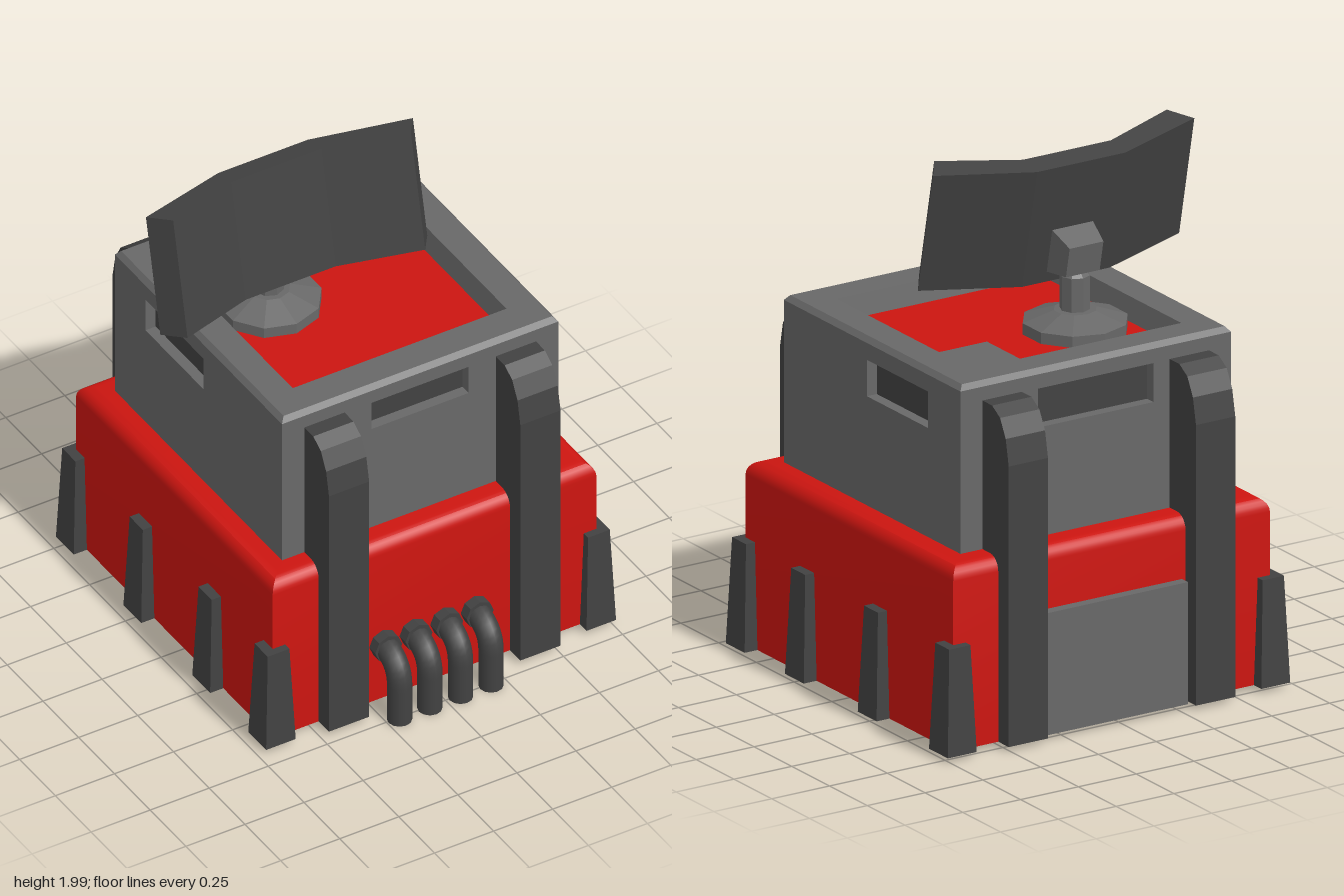
import * as THREE from 'three';
import { toCreasedNormals } from 'three/addons/utils/BufferGeometryUtils.js';

const mat = (color) => new THREE.MeshStandardMaterial({ color, flatShading: true });
const RED = mat(0xcc1510), GREY = mat(0x686868), DARK = mat(0x424242);
const SMOOTH_RED = new THREE.MeshStandardMaterial({ color: 0xcc1510 });
const SMOOTH_DARK = new THREE.MeshStandardMaterial({ color: 0x424242 });
const CX = 0.02, CZ = -0.045; // centre of the body

// Stack of rectangles [x0, x1, z0, z1, y], joined by quads; last one capped on request
function rectLoft(rings, cap = true) {
  const pos = [];
  const corners = ([x0, x1, z0, z1, y]) => [[x0, y, z1], [x1, y, z1], [x1, y, z0], [x0, y, z0]];
  const quad = (a, b, c, d) => pos.push(...a, ...b, ...c, ...a, ...c, ...d);
  for (let i = 0; i < rings.length - 1; i++) {
    const lo = corners(rings[i]), hi = corners(rings[i + 1]);
    for (let k = 0; k < 4; k++) {
      const n = (k + 1) % 4;
      quad(lo[k], lo[n], hi[n], hi[k]);
    }
  }
  if (cap) quad(...corners(rings[rings.length - 1]));
  const g = new THREE.BufferGeometry();
  g.setAttribute('position', new THREE.Float32BufferAttribute(pos, 3));
  g.computeVertexNormals();
  return g;
}

function polygon(points) {
  return new THREE.Shape(points.map(([x, y]) => new THREE.Vector2(x, y)));
}

export function createModel() {
  const model = new THREE.Group();
  const add = (name, geo, material, x = 0, y = 0, z = 0, parent = model) => {
    const m = new THREE.Mesh(geo, material);
    m.name = name;
    m.position.set(x, y, z);
    parent.add(m);
    return m;
  };
  const box = (name, material, x0, x1, y0, y1, z0, z1) =>
    add(name, new THREE.BoxGeometry(x1 - x0, y1 - y0, z1 - z0), material,
      (x0 + x1) / 2, (y0 + y1) / 2, (z0 + z1) / 2);

  // Red base with rounded upper edges
  const baseRings = [[-0.665, 0.705, -0.735, 0.64, 0.02]];
  for (let i = 0; i <= 6; i++) {
    const a = (i / 6) * Math.PI / 2, r = 0.055, d = r * (1 - Math.cos(a));
    baseRings.push([-0.665 + d, 0.705 - d, -0.735 + d, 0.64 - d, 0.73 - r + r * Math.sin(a)]);
  }
  add('base', toCreasedNormals(rectLoft(baseRings), 0.6), SMOOTH_RED);
  const under = add('underside', new THREE.PlaneGeometry(1.37, 1.375), DARK, CX, 0.02, -0.0475);
  under.rotation.x = Math.PI / 2;
  box('backPanel', GREY, -0.285, 0.325, 0.02, 0.49, -0.775, -0.72);

  // Upper walls, each with a recessed slot: turn, slot u range, slot y range
  const walls = [
    ['frontWall', 0, -0.205, 0.205, 1.18, 1.3],
    ['leftWall', Math.PI / 2, -0.035, 0.37, 1.15, 1.29],
    ['backWall', Math.PI, -0.25, 0.25, 1.15, 1.3],
    ['rightWall', -Math.PI / 2, -0.37, 0.035, 1.15, 1.29],
  ];
  const H = 0.585, DEPTH = 0.045;
  for (const [name, turn, u0, u1, v0, v1] of walls) {
    const side = new THREE.Group();
    side.name = name;
    side.position.set(CX, 0, CZ);
    side.rotation.y = turn;
    model.add(side);
    const shape = polygon([[-H, 0.7], [H, 0.7], [H, 1.355], [-H, 1.355]]);
    shape.holes.push(polygon([[u0, v0], [u0, v1], [u1, v1], [u1, v0]]));
    add(name + 'Panel', new THREE.ExtrudeGeometry(shape, { depth: DEPTH, bevelEnabled: false }),
      GREY, 0, 0, H - DEPTH, side);
    add(name + 'Slot', new THREE.BoxGeometry(u1 - u0 + 0.02, v1 - v0 + 0.02, 0.02),
      DARK, (u0 + u1) / 2, (v0 + v1) / 2, H - DEPTH - 0.01 + 0.002, side);
  }

  // Bevelled rim, sloping down to a sunken red floor
  add('rim', rectLoft([
    [-0.565, 0.605, -0.63, 0.54, 1.355],
    [-0.548, 0.588, -0.613, 0.523, 1.375],
    [-0.435, 0.47, -0.5, 0.4, 1.375],
    [-0.412, 0.45, -0.482, 0.382, 1.29],
  ], false), GREY);
  box('roofFloor', RED, -0.43, 0.465, 1.26, 1.292, -0.5, 0.4);
  box('roofBox', GREY, 0.21, 0.44, 1.28, 1.34, -0.475, -0.2);

  // Straps running up the front and back
  const strapGeo = new THREE.ExtrudeGeometry(polygon([
    [-0.03, 0.02], [0.172, 0.02], [0.172, 1.1], [0.152, 1.2], [0.115, 1.27], [0.062, 1.302], [-0.03, 1.302],
  ]), { depth: 0.17, bevelEnabled: false });
  strapGeo.translate(0, 0, -0.085).rotateY(-Math.PI / 2);
  for (const x of [-0.385, 0.425]) {
    add('frontStrap', strapGeo, DARK, x, 0, 0.54);
    add('backStrap', strapGeo, DARK, x, 0, -0.632).rotation.y = Math.PI;
  }

  // Tapered feet along both sides
  const B = 0.0625, T = 0.046;
  const footGeo = rectLoft([
    [B, -B, -B, B, 0.02].map((v, i) => (i < 2 ? 0 : i < 4 ? 0 : v)),
    [-B, B, -B, B, 0.02], [-T, T, -T, T, 0.43],
  ]);
  for (const x of [-0.658, 0.698])
    for (const z of [-0.722, -0.25, 0.232, 0.624]) add('foot', footGeo, DARK, x, 0, z);

  // Bent pipes with collars at the front
  const path = new THREE.CurvePath();
  const v = (y, z) => new THREE.Vector3(0, y, z);
  path.add(new THREE.LineCurve3(v(0, 0.758), v(0.16, 0.758)));
  path.add(new THREE.QuadraticBezierCurve3(v(0.16, 0.758), v(0.272, 0.758), v(0.272, 0.62)));
  const pipeGeo = new THREE.TubeGeometry(path, 20, 0.046, 12);
  const collarGeo = new THREE.CylinderGeometry(0.057, 0.057, 0.045, 8).rotateX(Math.PI / 2);
  const capGeo = new THREE.CircleGeometry(0.046, 12).rotateX(Math.PI / 2);
  for (const x of [-0.199, -0.071, 0.059, 0.188]) {
    add('pipe', pipeGeo, SMOOTH_DARK, x);
    add('pipeCap', capGeo, DARK, x, 0.001, 0.758);
    add('pipeCollar', collarGeo, DARK, x, 0.272, 0.66);
  }

  // Turntable and post
  const lathe = (pts, n) => new THREE.LatheGeometry(pts.map(([r, y]) => new THREE.Vector2(r, y)), n);
  add('turntable', lathe([[0.197, 1.285], [0.197, 1.335], [0.08, 1.375], [0, 1.375]], 10), GREY, -0.2, 0, -0.157);
  add('post', lathe([[0.056, 1.36], [0.056, 1.505], [0.04, 1.52], [0, 1.52]], 8), GREY, -0.2, 0, -0.155);

  // Three-panel folded screen, leaning back
  const screen = new THREE.Group();
  screen.name = 'screen';
  screen.position.set(-0.2, 1.475, -0.095);
  screen.rotation.x = -0.21;
  model.add(screen);
  const half = [[0.19, 0], [0.565, 0.117], [0.503, 0.207], [0.19, 0.095]]; // x, forward
  const outline = [...half, ...half.map(([x, s]) => [-x, s]).reverse()].map(([x, s]) => [x, -s]);
  const panelGeo = new THREE.ExtrudeGeometry(polygon(outline), { depth: 0.483, bevelEnabled: false });
  add('screenPanel', panelGeo.rotateX(-Math.PI / 2), DARK, 0, 0, 0, screen);
  const mountGeo = rectLoft([[-0.09, 0.09, -0.09, 0.09, -0.01], [-0.073, 0.073, -0.06, 0.06, 0.1]]);
  add('screenMount', mountGeo.rotateX(-Math.PI / 2), GREY, 0, 0.13, 0, screen);

  return model;
}
